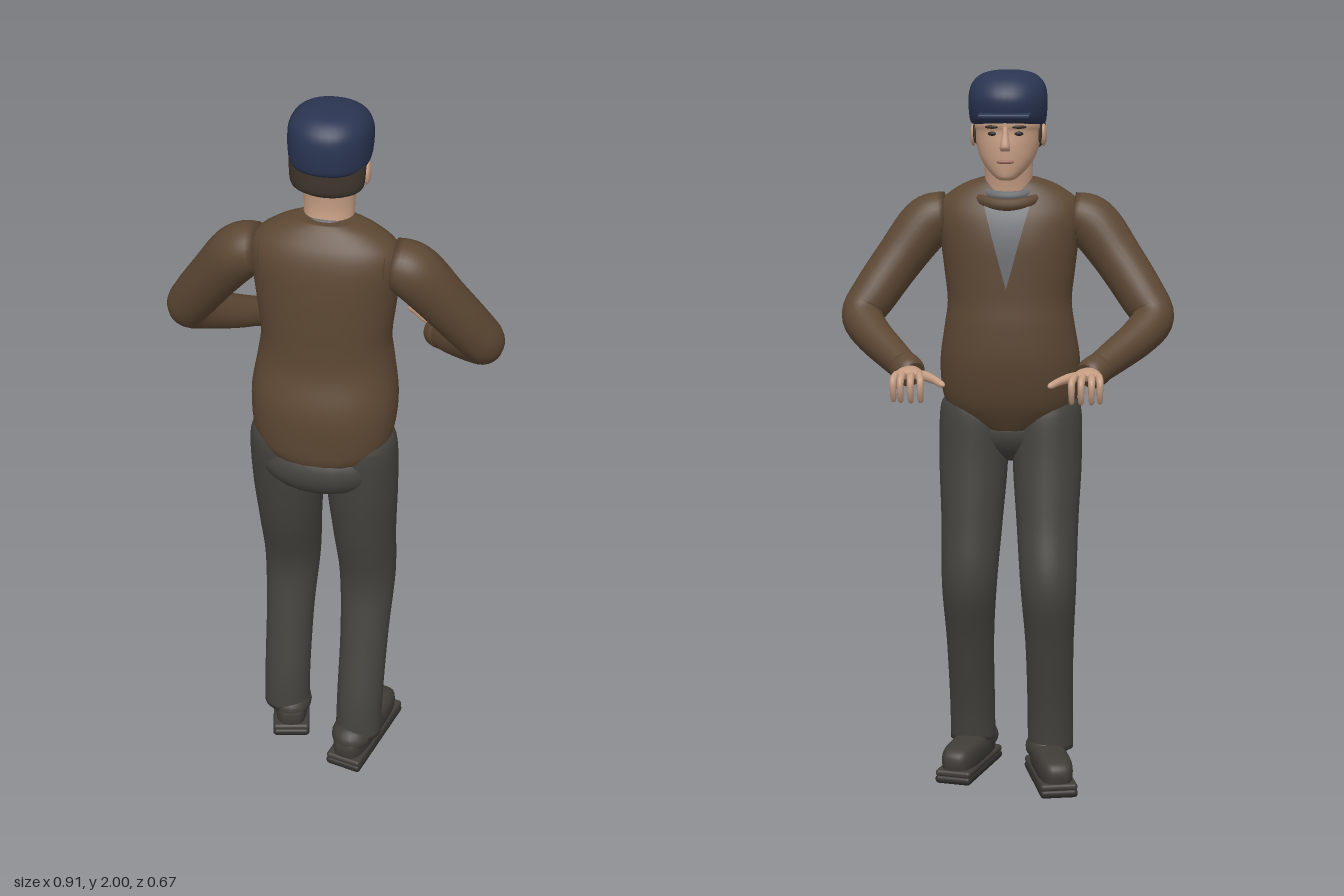
import * as THREE from 'three';
import { RoundedBoxGeometry } from 'three/addons/geometries/RoundedBoxGeometry.js';

const mat = (name, color, extra = {}) => Object.assign(new THREE.MeshStandardMaterial({ color, ...extra }), { name });
const M = {
  sweater: mat('brown wool', 0x5c4733),
  trousers: mat('charcoal cloth', 0x45433e),
  shoe: mat('shoe leather', 0x403d38),
  sole: mat('dark sole', 0x312e2b),
  cap: mat('navy cloth', 0x2a3552),
  skin: mat('skin', 0xc49c82),
  hair: mat('dark hair', 0x3f362d),
  shirt: mat('grey shirt', 0x6c6d72, { side: THREE.DoubleSide }),
  lips: mat('lips', 0xa0705e),
  eye: mat('eye', 0x2a2523),
};

// Catmull-Rom interpolation of rows of numbers
function smooth(rows, steps = 5) {
  const out = [], last = rows.length - 1;
  for (let i = 0; i < last; i++) {
    const [a, b, c, d] = [rows[Math.max(i - 1, 0)], rows[i], rows[i + 1], rows[Math.min(i + 2, last)]];
    for (let s = 0; s < steps; s++) {
      const t = s / steps;
      out.push(b.map((_, k) => 0.5 * (2 * b[k] + (c[k] - a[k]) * t
        + (2 * a[k] - 5 * b[k] + 4 * c[k] - d[k]) * t * t
        + (3 * b[k] - a[k] - 3 * c[k] + d[k]) * t * t * t)));
    }
  }
  return [...out, rows[last]];
}

// Skin through cross-sections [x, y, z, ru, rv]; level keeps the sections horizontal
function loft(rows, { level = true, n = 2, sides = 28, steps = 5 } = {}) {
  const R = smooth(rows, steps), pos = [], idx = [];
  const P = R.map(r => new THREE.Vector3(r[0], r[1], r[2]));
  R.forEach((r, j) => {
    const T = P[Math.min(j + 1, P.length - 1)].clone().sub(P[Math.max(j - 1, 0)]).normalize();
    if (level) T.set(0, Math.sign(P[P.length - 1].y - P[0].y), 0);
    const U = new THREE.Vector3(1, 0, 0).addScaledVector(T, -T.x).normalize();
    const V = T.clone().cross(U);
    for (let i = 0; i < sides; i++) {
      const a = i / sides * Math.PI * 2, c = Math.cos(a), s = Math.sin(a);
      const p = P[j].clone()
        .addScaledVector(U, r[3] * Math.sign(c) * Math.abs(c) ** (2 / n))
        .addScaledVector(V, r[4] * Math.sign(s) * Math.abs(s) ** (2 / n));
      pos.push(p.x, p.y, p.z);
      const k = (i + 1) % sides, A = j * sides;
      if (j < R.length - 1) idx.push(A + i, A + k, A + sides + i, A + k, A + sides + k, A + sides + i);
    }
  });
  // end caps
  const c0 = pos.length / 3, e = (R.length - 1) * sides;
  pos.push(...P[0].toArray(), ...P[P.length - 1].toArray());
  for (let i = 0; i < sides; i++) {
    const k = (i + 1) % sides;
    idx.push(c0, k, i, c0 + 1, e + i, e + k);
  }
  const g = new THREE.BufferGeometry();
  g.setAttribute('position', new THREE.Float32BufferAttribute(pos, 3));
  g.setIndex(idx);
  g.computeVertexNormals();
  return g;
}

const TORSO = [[0, .99, .165, .07, .08], [0, 1.04, .17, .155, .118], [0, 1.1, .16, .187, .138], [0, 1.2, .147, .195, .148],
  [0, 1.3, .13, .181, .134], [0, 1.37, .128, .172, .128], [0, 1.45, .127, .18, .126], [0, 1.53, .126, .19, .122],
  [0, 1.6, .128, .2, .11], [0, 1.65, .13, .185, .09], [0, 1.69, .125, .13, .066], [0, 1.71, .122, .075, .05]];
const TORSO_N = 2.2;

// z of the sweater's front surface at x, y
function chestZ(x, y) {
  const R = smooth(TORSO, 12), i = R.findIndex(r => r[1] >= y);
  const [a, b] = [R[i - 1], R[i]], t = (y - a[1]) / (b[1] - a[1]);
  const [, , z, rx, rz] = a.map((v, k) => v + (b[k] - v) * t);
  return z - rz * (1 - Math.abs(x / rx) ** TORSO_N) ** (1 / TORSO_N);
}

export function createModel() {
  const root = new THREE.Group();
  root.name = 'standingMan';
  const add = (name, geo, m, parent = root) => {
    const mesh = new THREE.Mesh(geo, m);
    mesh.name = name;
    parent.add(mesh);
    return mesh;
  };
  const blob = (name, m, p, r, parent = root) => {
    const b = add(name, new THREE.SphereGeometry(1, 20, 14), m, parent);
    b.position.set(...p);
    b.scale.set(...r);
    return b;
  };

  // sweater body and seat of the trousers
  add('sweaterBody', loft(TORSO, { n: TORSO_N, sides: 40 }), M.sweater);
  blob('trouserSeat', M.trousers, [0, 1.005, .185], [.175, .095, .115]);

  // V of shirt lying on the chest
  const vee = new THREE.PlaneGeometry(1, 1, 8, 12), vp = vee.attributes.position;
  for (let i = 0; i < vp.count; i++) {
    const t = vp.getY(i) + .5, y = 1.41 + .235 * t, x = -vp.getX(i) * .13 * t;
    vp.setXYZ(i, x, y, chestZ(x, y) - .004);
  }
  vee.computeVertexNormals();
  add('shirtFront', vee, M.shirt);

  // collar rings, low at the front
  const ring = (rx, rz, y, drop, r) => new THREE.TubeGeometry(new THREE.CatmullRomCurve3(
    Array.from({ length: 16 }, (_, i) => {
      const a = i / 16 * Math.PI * 2, z = Math.cos(a);
      return new THREE.Vector3(Math.sin(a) * rx, y + z * drop, .096 + z * rz);
    }), true), 48, r, 10, true);
  add('sweaterCollar', ring(.086, .066, 1.665, .028, .017), M.sweater);
  add('shirtCollar', ring(.07, .052, 1.68, .02, .013), M.shirt);

  // head and neck
  const head = new THREE.Group();
  head.name = 'head';
  root.add(head);
  add('neck', loft([[0, 1.6, .11, .072, .06], [0, 1.68, .1, .066, .056], [0, 1.74, .09, .066, .054], [0, 1.82, .09, .07, .06]]), M.skin, head);
  add('face', loft([[0, 1.705, .012, .016, .016], [0, 1.712, .015, .03, .033], [0, 1.735, .032, .054, .054],
    [0, 1.765, .052, .074, .076], [0, 1.8, .07, .086, .094], [0, 1.835, .075, .091, .096],
    [0, 1.86, .075, .093, .1], [0, 1.93, .075, .08, .085]]), M.skin, head);
  add('hair', loft([[0, 1.785, .118, .07, .045], [0, 1.8, .118, .092, .058], [0, 1.84, .114, .098, .066], [0, 1.89, .11, .098, .07]]), M.hair, head);
  add('nose', loft([[0, 1.85, -.018, .007, .008], [0, 1.825, -.024, .009, .011], [0, 1.795, -.03, .014, .017], [0, 1.783, -.024, .012, .011]], { sides: 14 }), M.skin, head);
  blob('lips', M.lips, [0, 1.755, -.018], [.024, .007, .009], head);
  for (const s of [1, -1]) {
    blob('ear', M.skin, [s * .096, 1.825, .083], [.009, .031, .019], head).rotation.x = -.15;
    blob('eye', M.eye, [s * .034, 1.83, -.011], [.014, .006, .008], head);
    blob('eyebrow', M.hair, [s * .036, 1.848, -.013], [.021, .005, .01], head).rotation.y = -s * .3;
    blob('sideburn', M.hair, [s * .088, 1.835, .053], [.006, .032, .012], head);
  }

  // flat cap with a stiff peak
  add('cap', loft([[0, 1.855, .084, .098, .1], [0, 1.87, .076, .104, .118], [0, 1.92, .072, .107, .125],
    [0, 1.96, .079, .1, .11], [0, 1.987, .085, .076, .078], [0, 1.998, .09, .04, .042], [0, 2, .09, .008, .008]], { n: 2.2, sides: 36 }), M.cap, head);
  const peak = add('capPeak', new RoundedBoxGeometry(.14, .013, .085, 3, .005), M.cap, head);
  peak.position.set(0, 1.879, -.036);
  peak.rotation.x = -.08;

  for (const s of [1, -1]) {
    const side = s > 0 ? 'left' : 'right';
    const limb = (rows, o) => loft(rows.map(([x, ...r]) => [s * x, ...r]), o);

    // bent arm with a cuff
    add(side + 'Sleeve', limb([[.13, 1.6, .135, .055, .055], [.19, 1.6, .135, .068, .07], [.235, 1.575, .13, .074, .074],
      [.3, 1.49, .105, .068, .068], [.365, 1.395, .068, .064, .064], [.398, 1.335, .038, .058, .06],
      [.365, 1.29, -.02, .052, .054], [.295, 1.24, -.105, .044, .046], [.243, 1.207, -.172, .038, .038]], { level: false }), M.sweater);
    add(side + 'Cuff', limb([[.262, 1.219, -.148, .041, .041], [.255, 1.214, -.157, .043, .043],
      [.24, 1.205, -.177, .042, .041], [.232, 1.2, -.187, .035, .034]], { level: false }), M.sweater);

    // hand with curled fingers and a spread thumb
    const hand = new THREE.Group();
    hand.name = side + 'Hand';
    root.add(hand);
    add('palm', limb([[.238, 1.203, -.17, .024, .02], [.236, 1.208, -.2, .026, .018], [.235, 1.212, -.235, .034, .016],
      [.234, 1.21, -.268, .036, .013], [.234, 1.207, -.28, .03, .008]], { level: false }), M.skin, hand);
    [[.262, .27, -.3], [.246, .249, -.316], [.226, .222, -.322], [.208, .197, -.314]].forEach(([x, tip, z]) =>
      add('finger', limb([[x, 1.211, -.255, .008, .008], [(x + tip) / 2, 1.21, z + .026, .01, .01], [tip, 1.198, z, .0095, .0095],
        [tip, 1.172, z - .003, .0085, .0085], [tip, 1.148, z + .006, .007, .007], [tip, 1.142, z + .008, .002, .002]],
      { level: false, sides: 12 }), M.skin, hand));
    add('thumb', limb([[.222, 1.206, -.215, .014, .013], [.19, 1.203, -.245, .014, .013], [.162, 1.197, -.277, .011, .01],
      [.142, 1.189, -.299, .009, .008], [.136, 1.187, -.306, .002, .002]], { level: false, sides: 12 }), M.skin, hand);

    // trouser leg: the left stands further back
    const z = s > 0 ? [.165, .157, .137, .115, .16, .215, .235] : [.165, .147, .115, .07, .1, .142, .155];
    add(side + 'TrouserLeg', limb([[.12, 1.108, .165, .045, .06], [.103, 1.07, z[0], .094, .1], [.104, .92, z[1], .097, .1],
      [.107, .75, z[2], .087, .094], [.113, .57, z[3], .078, .084], [.115, .4, z[4], .068, .073],
      [.115, .21, z[5], .065, .068], [.115, .085, z[6], .065, .062]]), M.trousers);

    // shoe turned outwards
    const shoe = new THREE.Group();
    shoe.name = side + 'Shoe';
    shoe.position.set(s * .121, 0, s > 0 ? .178 : .08);
    shoe.rotation.y = -s * .23;
    root.add(shoe);
    add('sole', new RoundedBoxGeometry(.106, .024, .302, 3, .011), M.sole, shoe).position.y = .012;
    add('welt', new RoundedBoxGeometry(.104, .02, .298, 3, .009), M.shoe, shoe).position.y = .03;
    add('upper', loft([[0, .03, 0, .046, .142], [0, .06, 0, .05, .147], [0, .085, .002, .047, .141],
      [0, .1, .008, .034, .118], [0, .104, .012, .012, .06]], { n: 3.5, sides: 36 }), M.shoe, shoe);
    blob('heelCounter', M.shoe, [0, .085, .075], [.06, .045, .07], shoe);
  }
  return root;
}
